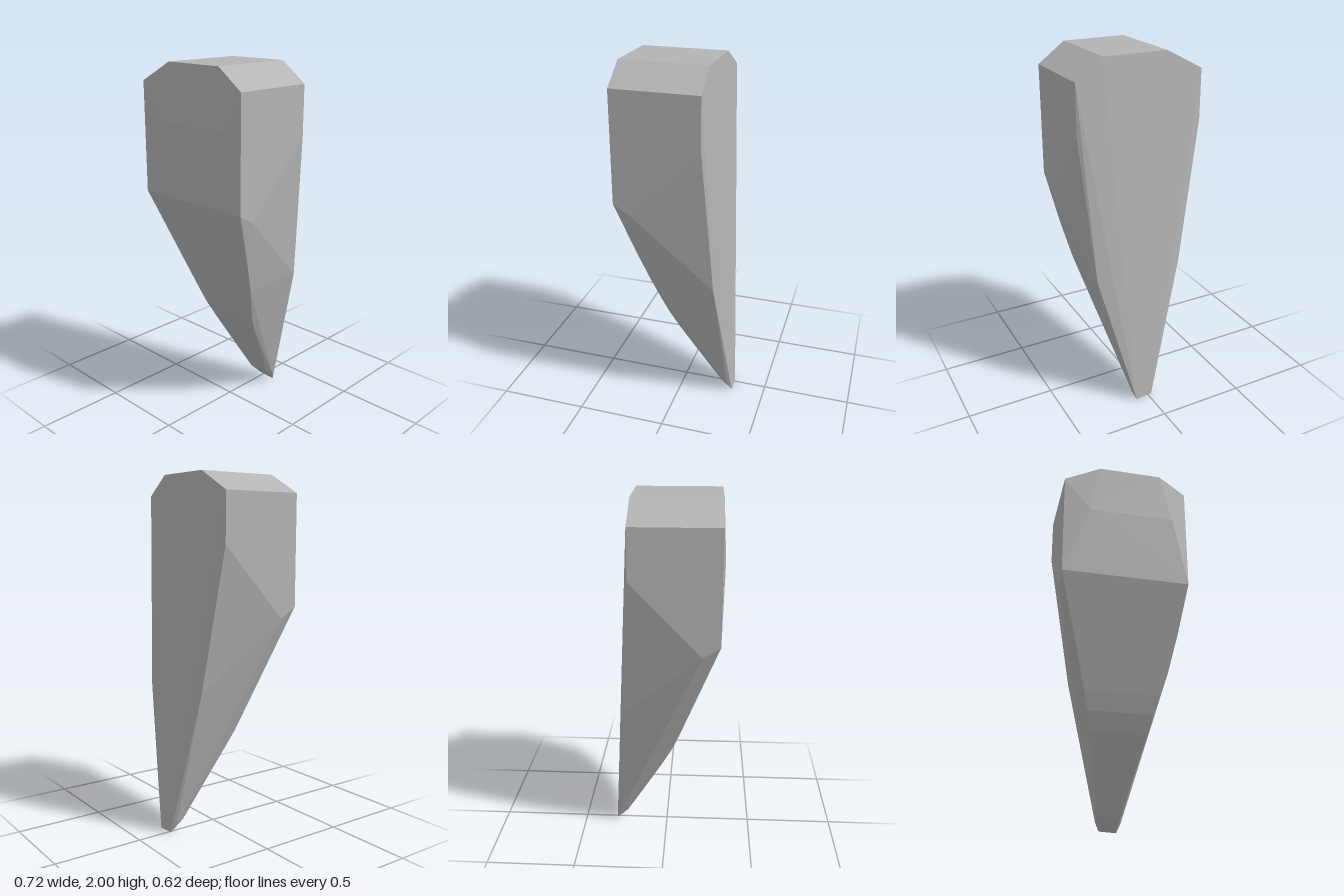
import * as THREE from 'three';
import { ConvexGeometry } from 'three/addons/geometries/ConvexGeometry.js';

const FRONT = 0.295, BACK = -0.18;

export function createModel() {
  const group = new THREE.Group();
  group.name = 'taperedClaw';
  const grey = new THREE.MeshStandardMaterial({ color: 0xb4b4b4 });
  grey.name = 'stone grey';

  const points = [];
  const add = (x, y, z) => points.push(new THREE.Vector3(x, y, z));

  // Chamfered block at the top
  for (const z of [FRONT, BACK]) {
    add(-0.15, 2, z);
    add(0.21, 2, z);
    for (const x of [-0.36, 0.36]) add(x, 1.89, z);
  }
  for (const x of [-0.36, 0.36]) {
    add(x, 1.28, FRONT);
    add(x, 1.22, 0.2);
    add(x, 1.62, BACK);
  }

  // Shallow bulge on the front face
  add(-0.21, 1.69, 0.31);
  add(0.275, 1.69, 0.31);

  // Curved underside: height, depth, left and right edge
  const underside = [
    [1.0, 0.195, -0.275, 0.315],
    [0.8, 0.122, -0.215, 0.275],
    [0.68, 0.08, -0.185, 0.24],
    [0.58, 0.04, -0.16, 0.215],
    [0.48, -0.01, -0.132, 0.19],
    [0.36, -0.075, -0.1, 0.158],
    [0.25, -0.137, -0.075, 0.13],
    [0.15, -0.197, -0.05, 0.108],
    [0.075, -0.24, -0.042, 0.09],
  ];
  for (const [y, z, x0, x1] of underside) {
    add(x0, y, z);
    add(x1, y, z);
  }

  // Slanted back corners
  add(-0.225, 0.83, -0.235);
  add(0.285, 0.8, -0.235);

  // Blunt tip
  add(-0.045, 0.05, -0.285);
  add(0.1, 0.05, -0.285);
  add(-0.02, 0.005, -0.308);
  add(0.08, 0, -0.31);

  const claw = new THREE.Mesh(new ConvexGeometry(points), grey);
  claw.name = 'clawBody';
  group.add(claw);
  return group;
}
